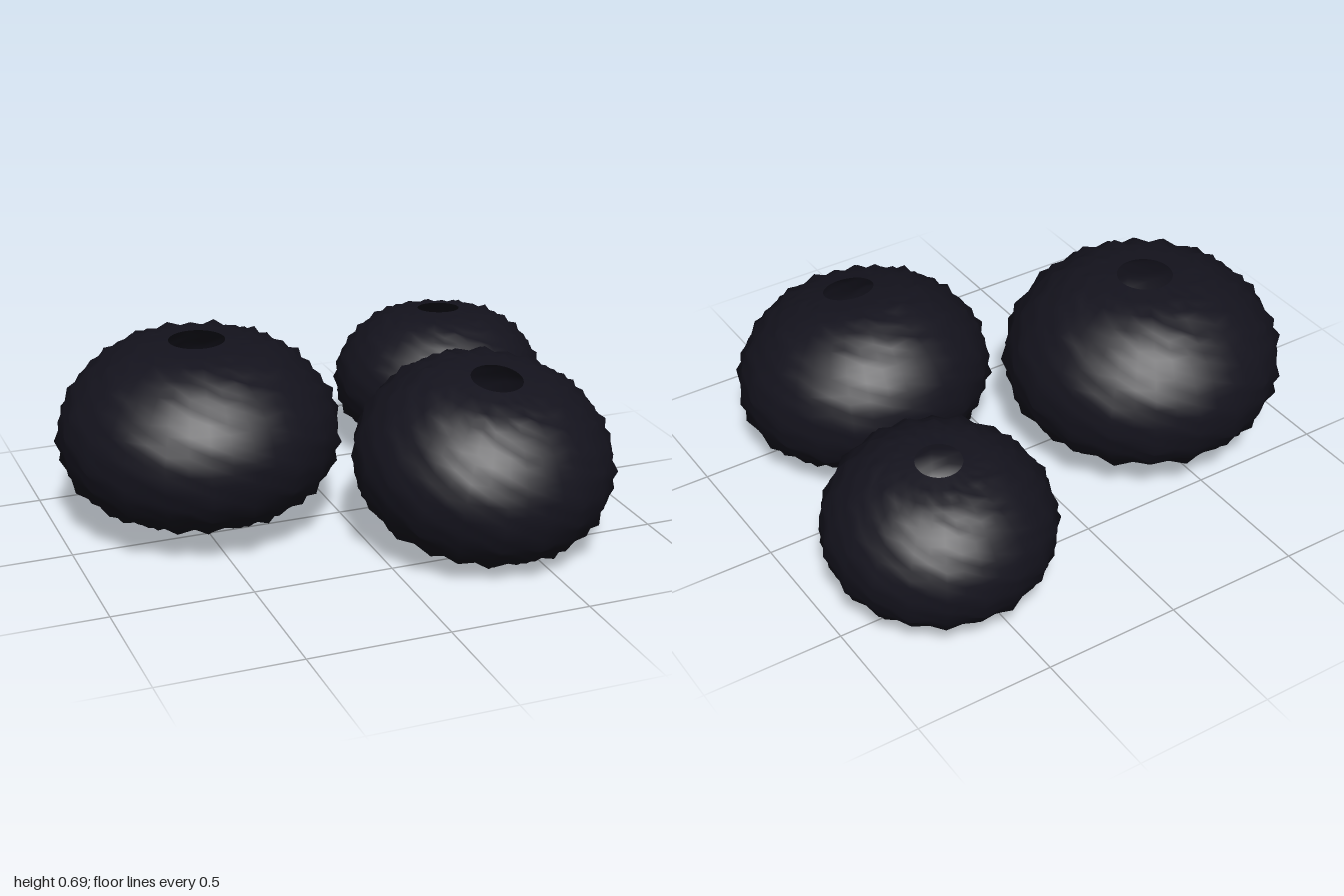
import * as THREE from 'three';
import { mergeVertices } from 'three/addons/utils/BufferGeometryUtils.js';

const RIBS = 20;
const ROWS = 34;

// Hollow domed shell of unit radius: dented bottom, low waist, open hole on top
function shellGeometry(seed) {
  const flank = new THREE.CatmullRomCurve3([
    [0.1, -0.585], [0.34, -0.605], [0.6, -0.555], [0.8, -0.45], [0.935, -0.29], [0.985, -0.08],
    [0.96, 0.1], [0.885, 0.25], [0.755, 0.4], [0.57, 0.525], [0.4, 0.585], [0.2, 0.615],
  ].map(([r, y]) => new THREE.Vector3(r, y, 0)));
  const profile = [
    new THREE.Vector2(0, -0.57),
    ...flank.getSpacedPoints(ROWS).map((p) => new THREE.Vector2(p.x, p.y)),
  ];
  const columns = RIBS * 2;
  const geometry = new THREE.LatheGeometry(profile, columns);
  const pos = geometry.attributes.position;
  const normal = geometry.attributes.normal;
  const p = new THREE.Vector3();
  const n = new THREE.Vector3();

  // Staggered tubercles along the ribs, fading out toward both poles
  for (let i = 0; i < pos.count; i++) {
    const row = i % profile.length;
    const column = Math.floor(i / profile.length) % columns;
    p.fromBufferAttribute(pos, i);
    n.fromBufferAttribute(normal, i);
    const onRib = column % 2 === 0;
    const raised = row % 2 === 0;
    const vary = 0.7 + 0.3 * Math.sin(row * 2.3 + column * 1.7 + seed);
    const fade = THREE.MathUtils.smoothstep(Math.hypot(p.x, p.z), 0.2, 0.6);
    const height = onRib ? (raised ? 0.046 : 0.014) : 0.002;
    p.addScaledVector(n, height * vary * fade);
    pos.setXYZ(i, p.x, p.y, p.z);
  }

  // Weld the seam so that shading runs smoothly around
  geometry.deleteAttribute('uv');
  geometry.deleteAttribute('normal');
  const welded = mergeVertices(geometry, 1e-5);
  welded.computeVertexNormals();
  return welded;
}

export function createModel() {
  const group = new THREE.Group();
  const material = new THREE.MeshStandardMaterial({ color: 0x14131d, side: THREE.DoubleSide });

  // Three shells of different size, each with its own lean
  const shells = [
    { name: 'largeShell', at: [-0.49, 0.375, -0.122], radius: 0.5, squash: 1.01, lean: [0, 0.1, 0] },
    { name: 'frontShell', at: [0.387, 0.333, 0.4], radius: 0.458, squash: 1.05, lean: [0.2, 0.05, -0.04] },
    { name: 'smallShell', at: [0.592, 0.305, -0.47], radius: 0.398, squash: 1.03, lean: [-0.08, 0.15, -0.03] },
  ];
  shells.forEach(({ name, at, radius, squash, lean }, i) => {
    const shell = new THREE.Mesh(shellGeometry(i * 2), material);
    shell.name = name;
    shell.position.set(...at);
    shell.rotation.set(...lean);
    shell.scale.set(radius, radius * squash, radius);
    group.add(shell);
  });
  return group;
}
